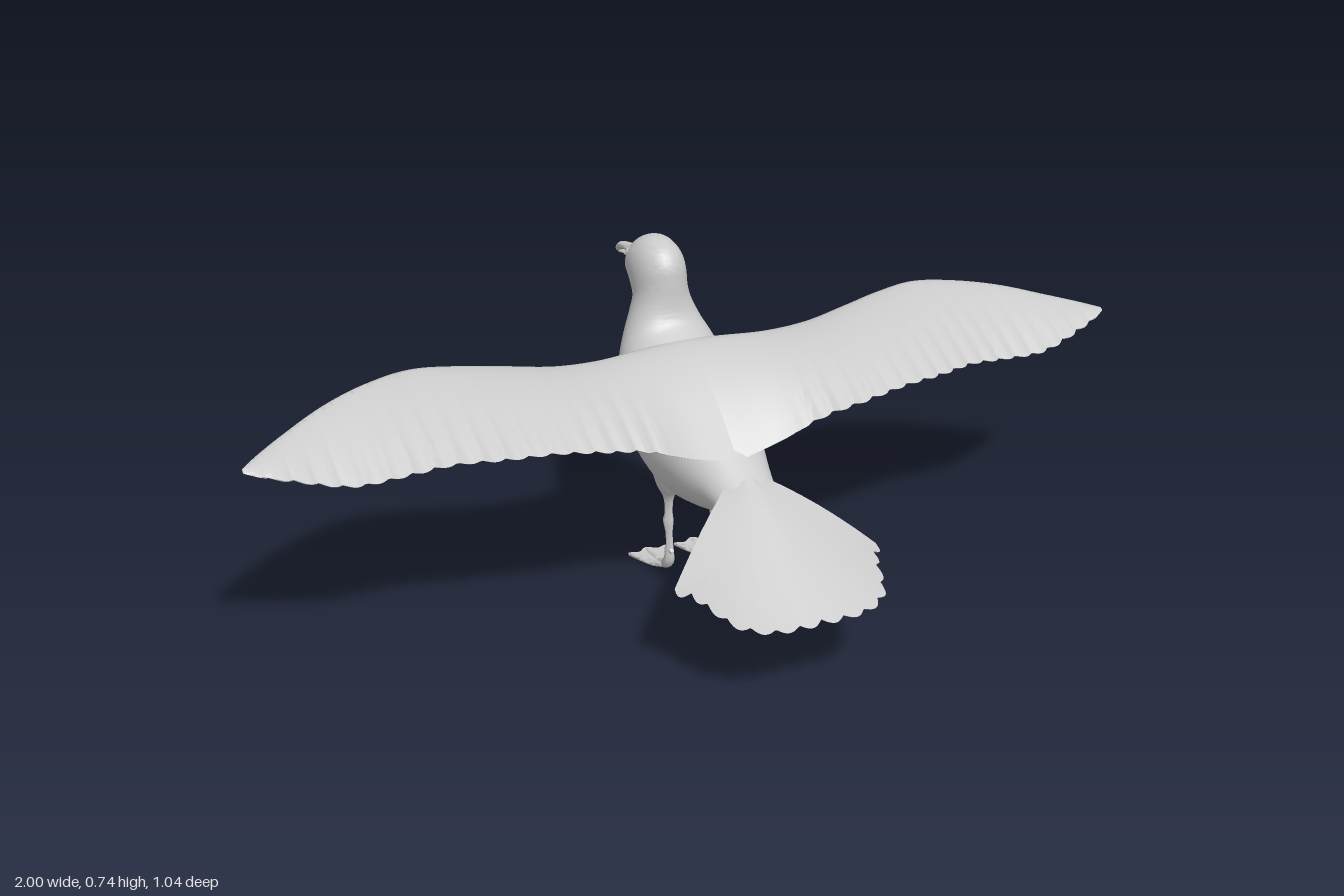
import * as THREE from 'three';
import { toCreasedNormals } from 'three/addons/utils/BufferGeometryUtils.js';

const V = (x, y, z) => new THREE.Vector3(x, y, z);
const material = new THREE.MeshStandardMaterial({ color: 0xcccccc });
const curve = (points) => new THREE.CatmullRomCurve3(points);

// Skins closed rings of points, caps both ends and turns the faces outward
function loft(name, rings, crease = 1.1) {
  const m = rings[0].length, n = rings.length, index = [];
  const mean = (ring) => ring.reduce((a, p) => a.add(p), V(0, 0, 0)).divideScalar(m);
  const points = [...rings.flat(), mean(rings[0]), mean(rings[n - 1])];
  for (let j = 0; j < m; j++) {
    const k = (j + 1) % m;
    for (let i = 0; i < n - 1; i++) {
      const a = i * m + j, b = i * m + k;
      index.push(a, b, a + m, b, b + m, a + m);
    }
    index.push(n * m, k, j, n * m + 1, (n - 1) * m + j, (n - 1) * m + k);
  }
  let volume = 0;
  for (let i = 0; i < index.length; i += 3) {
    const [a, b, c] = [0, 1, 2].map((k) => points[index[i + k]]);
    volume += a.dot(b.clone().cross(c));
  }
  if (volume < 0) index.reverse();
  const geo = new THREE.BufferGeometry().setFromPoints(points);
  geo.setIndex(index);
  const mesh = new THREE.Mesh(toCreasedNormals(geo, crease), material);
  mesh.name = name;
  return mesh;
}

// Oval sections from rows of [back z, back y, belly z, belly y, half width]
function ovalLoft(name, rows, steps, sides, offsetX = 0) {
  const back = curve(rows.map((r) => V(0, r[1], r[0])));
  const belly = curve(rows.map((r) => V(r[4], r[3], r[2])));
  const rings = [];
  for (let i = 0; i <= steps; i++) {
    const a = back.getPoint(i / steps), b = belly.getPoint(i / steps);
    const w = b.x;
    b.x = 0;
    const mid = a.clone().add(b).multiplyScalar(0.5), half = a.clone().sub(mid);
    rings.push(Array.from({ length: sides }, (_, j) => {
      const t = (j / sides) * Math.PI * 2;
      return mid.clone().addScaledVector(half, Math.cos(t)).add(V(offsetX + w * Math.sin(t), 0, 0));
    }));
  }
  return loft(name, rings);
}

// Thin blade: middle surface at(s, t) thickened by thick(s, t)
function blade(name, n, m, at, thick) {
  const rings = [];
  for (let i = 0; i <= n; i++) {
    const ring = [];
    for (let j = 0; j < 2 * m; j++) {
      const top = j <= m, k = top ? j : 2 * m - j;
      const t = (1 - Math.cos((Math.PI * k) / m)) / 2;
      const p = at(i / n, t);
      p.y += (top ? 0.5 : -0.5) * thick(i / n, t);
      ring.push(p);
    }
    rings.push(ring);
  }
  return loft(name, rings, 1.3);
}

const scallop = (t) => 1 - Math.abs(Math.sin(Math.PI * t));

function wing(side) {
  // x, leading z, leading y, trailing z, trailing y, thickness
  const rows = [
    [0, -0.175, 0.535, 0.12, 0.375, 0.06], [0.1, -0.17, 0.53, 0.115, 0.398, 0.055],
    [0.2, -0.162, 0.527, 0.122, 0.436, 0.045], [0.3, -0.162, 0.533, 0.133, 0.46, 0.038],
    [0.4, -0.176, 0.547, 0.122, 0.472, 0.034], [0.5, -0.2, 0.557, 0.103, 0.471, 0.03],
    [0.6, -0.215, 0.562, 0.072, 0.467, 0.027], [0.7, -0.202, 0.553, 0.056, 0.455, 0.023],
    [0.8, -0.162, 0.54, 0.048, 0.451, 0.018], [0.9, -0.107, 0.518, 0.026, 0.472, 0.012],
    [0.97, -0.057, 0.504, -0.004, 0.487, 0.007], [1, -0.03, 0.498, -0.022, 0.495, 0.003],
  ];
  const lead = curve(rows.map((r) => V(r[0], r[2], r[1])));
  const trail = curve(rows.map((r) => V(r[0], r[4], r[3])));
  const depth = curve(rows.map((r) => V(r[0], r[5], 0)));
  return blade('wing', 176, 14, (s, t) => {
    const a = lead.getPoint(s), b = trail.getPoint(s);
    const ragged = THREE.MathUtils.smoothstep(b.x, 0.12, 0.22) * (1 - THREE.MathUtils.smoothstep(b.x, 0.92, 1));
    b.z -= 0.014 * ragged * scallop(b.x * 22);
    a.lerp(b, t);
    a.y += 0.018 * Math.sin(Math.PI * t) * (1 - s);
    a.x *= side;
    return a;
  }, (s, t) => depth.getPoint(s).y * 2.4 * Math.sqrt(t) * (1 - t) + 0.003);
}

function tail() {
  const reach = curve([0.31, 0.315, 0.345, 0.385, 0.402, 0.4, 0.395].map((r, i) => V(i, r, 0)));
  return blade('tailFan', 144, 14, (s, t) => {
    const side = 2 * s - 1, angle = side * 0.89;
    const length = reach.getPoint(1 - Math.abs(side)).y - 0.013 * scallop(s * 14);
    const r = THREE.MathUtils.lerp(0.05, length, t);
    const x = r * Math.sin(angle), z = 0.12 + r * Math.cos(angle);
    const droop = 1.15 * Math.sqrt(THREE.MathUtils.clamp((0.52 - z) / 0.2, 0, 1));
    return V(x, 0.327 - 0.44 * (z - 0.2) - droop * x * x, z);
  }, (s, t) => 0.004 + 0.035 * (1 - t) * (1 - Math.abs(2 * s - 1)));
}

// Round limb from rows of [x, y, z, radius]
function limb(name, rows) {
  const path = curve(rows.map((r) => V(r[0], r[1], r[2])));
  const size = curve(rows.map((r, i) => V(i, r[3], 0)));
  const rings = [], steps = 24, up = V(1, 0, 0);
  for (let i = 0; i <= steps; i++) {
    const p = path.getPoint(i / steps), r = size.getPoint(i / steps).y;
    const side = path.getTangent(i / steps).cross(up).normalize();
    rings.push(Array.from({ length: 12 }, (_, j) => {
      const a = (j / 12) * Math.PI * 2;
      return p.clone().addScaledVector(up, r * Math.cos(a)).addScaledVector(side, r * Math.sin(a));
    }));
  }
  return loft(name, rings);
}

function leg(side) {
  const group = new THREE.Group();
  group.name = 'leg';
  const x = side * 0.057;
  group.add(limb('shank', [
    [x, 0.28, -0.1, 0.045], [x, 0.235, -0.107, 0.03], [x, 0.2, -0.112, 0.012], [x, 0.16, -0.113, 0.009],
    [x, 0.14, -0.115, 0.012], [x, 0.11, -0.112, 0.008], [x, 0.07, -0.11, 0.009],
    [x, 0.04, -0.115, 0.013], [x, 0.022, -0.135, 0.011], [x, 0.013, -0.165, 0.007],
  ]));
  group.add(limb('hindToe', [[x, 0.066, -0.11, 0.006], [x, 0.07, -0.1, 0.006], [x, 0.064, -0.094, 0.003]]));
  // Webbed foot with three toes
  for (const k of [-1, 0, 1]) {
    const end = -0.246 + 0.012 * Math.abs(k);
    group.add(limb('toe', [
      [x, 0.024, -0.125, 0.008], [x + k * 0.018, 0.013, -0.16, 0.006],
      [x + k * 0.036, 0.009, -0.21, 0.006], [x + k * 0.045, 0.006, end, 0.003],
    ]));
  }
  group.add(blade('footWeb', 24, 8, (s, t) => {
    const a = (2 * s - 1) * 0.38, r = 0.13 - 0.012 * Math.sin(2 * Math.PI * s) ** 2;
    const d = THREE.MathUtils.lerp(0.012, r, t);
    return V(x + d * Math.sin(a), 0.006 + 0.016 * (1 - t) ** 2, -0.115 - d * Math.cos(a));
  }, () => 0.006));
  return group;
}

export function createModel() {
  const bird = new THREE.Group();
  bird.name = 'bird';

  // Body, neck and head in one skin
  bird.add(ovalLoft('body', [
    [0.36, 0.258, 0.36, 0.235, 0.03], [0.28, 0.295, 0.28, 0.243, 0.052],
    [0.2, 0.338, 0.22, 0.253, 0.06], [0.1, 0.395, 0.13, 0.254, 0.08], [0.02, 0.45, 0.03, 0.228, 0.106],
    [-0.06, 0.5, -0.08, 0.21, 0.124], [-0.12, 0.53, -0.17, 0.235, 0.13], [-0.17, 0.553, -0.25, 0.31, 0.127],
    [-0.195, 0.57, -0.3, 0.4, 0.113], [-0.205, 0.59, -0.333, 0.49, 0.09], [-0.21, 0.62, -0.341, 0.56, 0.069],
    [-0.212, 0.652, -0.343, 0.592, 0.06], [-0.217, 0.692, -0.355, 0.609, 0.06],
    [-0.237, 0.722, -0.364, 0.618, 0.06], [-0.272, 0.738, -0.368, 0.62, 0.058],
    [-0.312, 0.74, -0.372, 0.622, 0.054], [-0.35, 0.725, -0.38, 0.627, 0.042],
    [-0.375, 0.703, -0.39, 0.636, 0.028], [-0.39, 0.69, -0.398, 0.645, 0.02],
  ], 110, 36));

  // Hooked upper bill over a shorter lower bill
  bird.add(ovalLoft('upperBill', [
    [-0.36, 0.71, -0.36, 0.658, 0.036], [-0.39, 0.691, -0.39, 0.66, 0.023], [-0.42, 0.68, -0.42, 0.659, 0.018],
    [-0.46, 0.672, -0.46, 0.655, 0.014], [-0.492, 0.664, -0.49, 0.648, 0.011],
    [-0.511, 0.65, -0.505, 0.637, 0.008], [-0.52, 0.637, -0.516, 0.634, 0.002],
  ], 30, 16));
  bird.add(ovalLoft('lowerBill', [
    [-0.36, 0.655, -0.36, 0.622, 0.034], [-0.39, 0.657, -0.39, 0.638, 0.02], [-0.42, 0.656, -0.42, 0.645, 0.015],
    [-0.46, 0.652, -0.46, 0.645, 0.011], [-0.49, 0.645, -0.49, 0.637, 0.007], [-0.507, 0.637, -0.507, 0.634, 0.003],
  ], 24, 14));

  bird.add(tail());
  for (const side of [-1, 1]) {
    bird.add(wing(side), leg(side));
    const eye = new THREE.Mesh(new THREE.SphereGeometry(0.012, 16, 12), material);
    eye.name = 'eye';
    eye.position.set(side * 0.041, 0.694, -0.342);
    bird.add(eye);
  }
  return bird;
}
